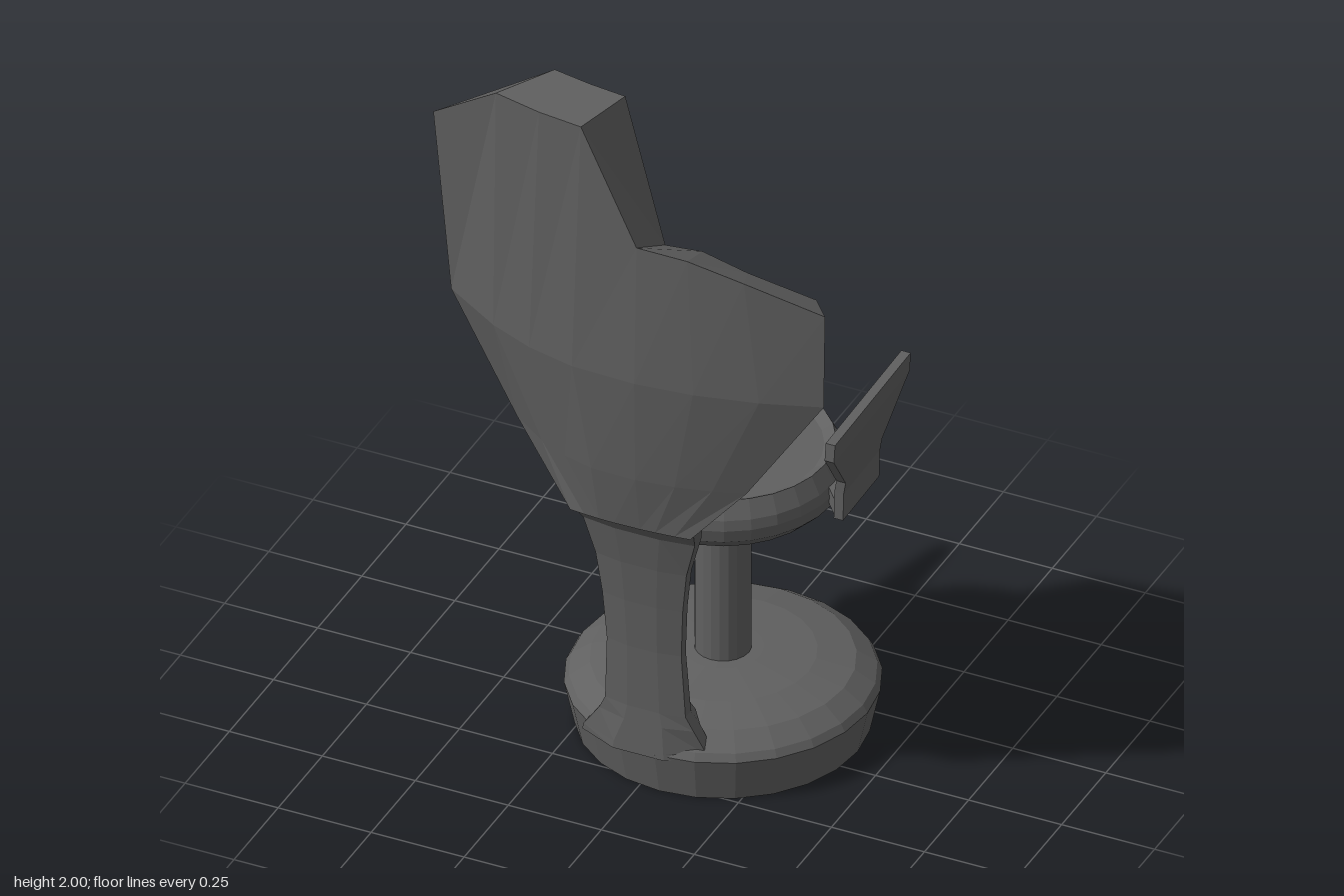
import * as THREE from 'three';

const material = new THREE.MeshStandardMaterial({ color: 0x606060, flatShading: true });
const AXIS = { x: 0.054, z: -0.076 };

function part(name, geometry) {
  const faceted = geometry.toNonIndexed();
  faceted.computeVertexNormals();
  const mesh = new THREE.Mesh(faceted, material);
  mesh.name = name;
  return mesh;
}

// Turned part around the seat axis; profile is [radius, y] from bottom to top
function turned(name, profile, sides) {
  const points = profile.map(([r, y]) => new THREE.Vector2(r, y));
  const mesh = part(name, new THREE.LatheGeometry(points, sides));
  mesh.position.set(AXIS.x, 0, AXIS.z);
  return mesh;
}

// Closed solid through equal-length rings of [x, y, z] points
function loft(rings) {
  const n = rings[0].length;
  const index = [];
  const quad = (a, b, c, d) => index.push(a, b, c, a, c, d);
  for (let k = 0; k < rings.length - 1; k++) {
    for (let i = 0; i < n; i++) {
      const j = (i + 1) % n;
      quad(k * n + i, (k + 1) * n + i, (k + 1) * n + j, k * n + j);
    }
  }
  const last = (rings.length - 1) * n;
  for (let i = 0; i < n / 2 - 1; i++) {
    quad(i, i + 1, n - 2 - i, n - 1 - i);
    quad(last + n - 1 - i, last + n - 2 - i, last + i + 1, last + i);
  }
  const geometry = new THREE.BufferGeometry();
  geometry.setAttribute('position', new THREE.Float32BufferAttribute(rings.flat(2), 3));
  geometry.setIndex(index);
  return geometry;
}

// Curved, lopsided back shell: a tall lobe on one side and a low one on the other
function backShell() {
  // per column: outer x at the four heights, top y, then inner top x, z and drop
  const columns = [
    [-0.13, -0.32, -0.51, -0.535, 1.84, -0.385, 0.18, 0],
    [-0.09, -0.22, -0.35, -0.33, 2.0, -0.245, 0.248, 0],
    [-0.05, -0.14, -0.23, -0.2, 2.0, -0.14, 0.268, 0],
    [-0.01, -0.06, -0.1, -0.08, 2.0, -0.04, 0.28, 0],
    [0.06, 0.06, 0.07, 0.07, 1.69, 0.07, 0.285, 0.09],
    [0.1, 0.16, 0.22, 0.2, 1.68, 0.17, 0.285, 0.07],
    [0.15, 0.25, 0.38, 0.34, 1.638, 0.29, 0.28, 0.06],
    [0.19, 0.33, 0.53, 0.53, 1.56, 0.45, 0.23, 0.045],
  ];
  // per height: depth at the middle and how strongly each side curls forward
  const outerZ = [0.41, 0.437, 0.463, 0.45];
  const leftBend = [0.36, 0.6, 0.38, 0.36];
  const rightBend = [0.45, 1.3, 0.72, 0.44];
  const innerZ = [0.27, 0.255, 0.275];
  const innerRise = [0.06, 0.02, 0.07];
  const rings = columns.map(([x0, x1, x2, x3, top, topX, topZ, drop]) => {
    const xs = [x0, x1, x2, x3];
    const ys = [0.84, 1.0, 1.3, top];
    const bend = x0 < 0 ? rightBend : leftBend;
    const outer = xs.map((x, i) => [x, ys[i], outerZ[i] - bend[i] * x * x]);
    const inner = innerZ.map((z, i) => {
      const x = xs[i] * (x0 < 0 ? 0.75 : 0.83);
      return [x, ys[i] + innerRise[i], z - (x0 < 0 ? 0.84 : 0.38) * x * x];
    });
    return [...outer, [topX, top - drop, topZ], ...inner.reverse()];
  });
  return part('backShell', loft(rings));
}

// Waisted column that carries the back shell and flares into the base
function backColumn() {
  // [y, centre x, half width, inner z, outer z, setback of the outer corners]
  const sections = [
    [0.11, 0.01, 0.172, 0.19, 0.312, 0.045],
    [0.13, 0.01, 0.166, 0.19, 0.311, 0.04],
    [0.2, 0.02, 0.127, 0.195, 0.307, 0.02],
    [0.24, 0.02, 0.108, 0.215, 0.305, 0.012],
    [0.42, 0.02, 0.1, 0.235, 0.312, 0.012],
    [0.56, 0.022, 0.108, 0.245, 0.325, 0.012],
    [0.68, 0.025, 0.122, 0.255, 0.34, 0.012],
    [0.79, 0.03, 0.15, 0.258, 0.362, 0.012],
    [0.845, 0.03, 0.165, 0.262, 0.4, 0.012],
    [0.9, 0.03, 0.165, 0.27, 0.39, 0.012],
  ];
  const rings = sections.map(([y, cx, w, zi, zo, setback]) => {
    const zc = zo - setback;
    const half = [[0.7 * w, zi], [w, zc - (zc - zi) * 0.4], [w, zc], [0.4 * w, zo]];
    const right = half.map(([x, z]) => [cx + x, y, z]);
    const left = half.map(([x, z]) => [cx - x, y, z]).reverse();
    return [...right, ...left];
  });
  return part('backColumn', loft(rings));
}

// Flared arm plate leaning outward, with a tapered foot joining the seat
function armrest(side) {
  // plate levels: [y, inner x, back z, front z]
  const levels = [
    [0.722, 0.333, -0.21, 0.003],
    [0.8, 0.335, -0.21, 0.004],
    [0.835, 0.341, -0.21, 0.005],
    [0.97, 0.362, -0.327, 0.12],
    [1.02, 0.364, -0.327, 0.118],
  ];
  const thickness = 0.025;
  const plate = loft(levels.map(([y, x, back, front]) => {
    const corner = (dx, z) => [x + dx + 0.018 * (z + 0.1), y, z];
    return [corner(0, back), corner(thickness, back),
      corner(thickness, front), corner(0, front)];
  }));
  // foot stations: [x, half depth]
  const foot = loft([[0.24, 0.04], [0.295, 0.05], [0.34, 0.105]].map(([x, d]) => {
    const mid = -0.103;
    return [[x, 0.722, mid - d], [x, 0.722, mid + d],
      [x, 0.768, mid + d], [x, 0.768, mid - d]];
  }));
  // Mirror across the seat axis, turning the faces back outward
  if (side < 0) {
    for (const geometry of [plate, foot]) {
      geometry.scale(-1, 1, 1);
      geometry.index.array.reverse();
    }
  }
  const group = new THREE.Group();
  group.name = side > 0 ? 'leftArmrest' : 'rightArmrest';
  group.add(part('armPlate', plate), part('armFoot', foot));
  group.position.x = AXIS.x;
  return group;
}

export function createModel() {
  const model = new THREE.Group();
  model.name = 'chair';
  model.add(
    turned('base', [[0, 0], [0.362, 0], [0.388, 0.12], [0.376, 0.14], [0.325, 0.175],
      [0.23, 0.196], [0.1, 0.206], [0, 0.208]], 24),
    turned('pole', [[0.07, 0.19], [0.07, 0.61]], 20),
    turned('seat', [[0, 0.59], [0.075, 0.59], [0.26, 0.67], [0.295, 0.705], [0.302, 0.74],
      [0.298, 0.768], [0.274, 0.814], [0.246, 0.798], [0, 0.798]], 28),
    backColumn(),
    backShell(),
    armrest(1),
    armrest(-1),
  );
  return model;
}
